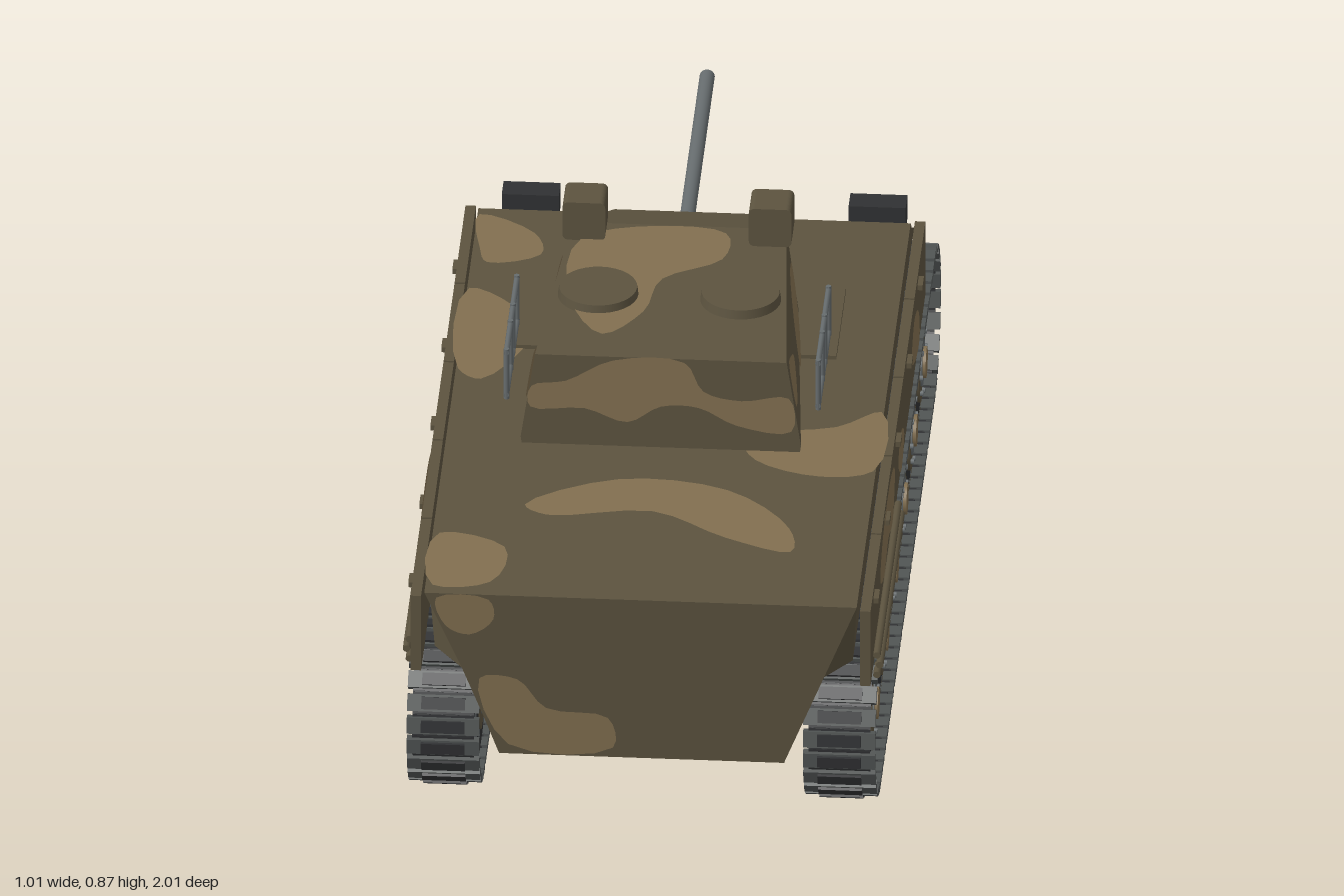
import * as THREE from 'three';

const mat = (name, color, side = THREE.FrontSide) => {
  const m = new THREE.MeshStandardMaterial({ color, side });
  m.name = name;
  return m;
};

// Closed solid lofted through mirrored half sections, ordered rear (+z) to front (-z)
function loft(halves) {
  const rings = halves.map(h => [...h, ...h.slice().reverse().map(([x, y, z]) => [-x, y, z])]);
  const n = rings[0].length, pos = [];
  const tri = (a, b, c) => pos.push(...a, ...b, ...c);
  for (let i = 0; i < rings.length - 1; i++) for (let j = 0; j < n; j++) {
    const k = (j + 1) % n, A = rings[i], B = rings[i + 1];
    tri(A[j], A[k], B[k]);
    tri(A[j], B[k], B[j]);
  }
  const F = rings[0], L = rings[rings.length - 1];
  for (let k = 1; k < n - 1; k++) {
    tri(F[0], F[k + 1], F[k]);
    tri(L[0], L[k], L[k + 1]);
  }
  const g = new THREE.BufferGeometry();
  g.setAttribute('position', new THREE.Float32BufferAttribute(pos, 3));
  g.computeVertexNormals();
  return g;
}

// Rounded camouflage patch, laid on a surface by map(u, v)
function patch(points, map) {
  const curve = new THREE.CatmullRomCurve3(points.map(([u, v]) => new THREE.Vector3(u, v, 0)), true);
  const shape = new THREE.Shape(curve.getPoints(points.length * 4).map(p => new THREE.Vector2(p.x, p.y)));
  const g = new THREE.ShapeGeometry(shape), p = g.attributes.position;
  for (let i = 0; i < p.count; i++) p.setXYZ(i, ...map(p.getX(i), p.getY(i)));
  g.computeVertexNormals();
  return g;
}

export function createModel() {
  const root = new THREE.Group();
  root.name = 'tank';
  const olive = mat('oliveBrown', 0x5c533f);
  const tan = mat('tanCamouflage', 0x826f50, THREE.DoubleSide);
  const dark = mat('darkRubber', 0x303133, THREE.DoubleSide);
  const steel = mat('trackSteel', 0x515554);
  const grey = mat('gunGrey', 0x666c6e);
  const black = mat('blackGlass', 0x17191b);

  const add = (name, geo, m, x = 0, y = 0, z = 0, parent = root) => {
    const o = new THREE.Mesh(geo, m);
    o.name = name;
    o.position.set(x, y, z);
    parent.add(o);
    return o;
  };
  const box = (w, h, d) => new THREE.BoxGeometry(w, h, d);
  const cylX = (r, len, seg = 32) => new THREE.CylinderGeometry(r, r, len, seg).rotateZ(Math.PI / 2);
  const cylZ = (r, len, seg = 24) => new THREE.CylinderGeometry(r, r, len, seg).rotateX(Math.PI / 2);

  // Hull with sloped rear plate, sponsons, glacis and nose
  const rearZ = y => 1 - (0.54 - y) * 0.08;
  const mid = (z, top) => [[0.455, top, z], [0.44, Math.min(0.355, top), z], [0.335, 0.355, z], [0.335, 0.24, z], [0.3, 0.14, z]];
  add('hull', loft([
    [[0.455, 0.54], [0.378, 0.355], [0.377, 0.353], [0.335, 0.24], [0.3, 0.14]].map(([x, y]) => [x, y, rearZ(y)]),
    mid(0.9, 0.54), mid(-0.62, 0.54), mid(-0.65, 0.512),
    mid(-0.92, 0.357),
    [[0.44, 0.31, -1], [0.43, 0.28, -1], [0.41, 0.24, -1], [0.38, 0.21, -1], [0.3, 0.16, -0.94]],
  ]), olive);
  add('bellyPlate', box(0.6, 0.02, 1.8), olive, 0, 0.145, 0.06);

  // Turret
  add('turret', loft([
    [[0.265, 0.775, 0.39], [0.295, 0.575, 0.39], [0.293, 0.56, 0.39]],
    [[0.225, 0.775, -0.17], [0.25, 0.575, -0.18], [0.248, 0.56, -0.18]],
    [[0.145, 0.74, -0.29], [0.15, 0.6, -0.29], [0.148, 0.59, -0.29]],
  ]), olive);
  add('mantlet', cylZ(0.058, 0.03), grey, 0, 0.66, -0.3);
  add('gunBarrel', cylZ(0.016, 0.71), grey, 0, 0.66, -0.645);

  for (const s of [-1, 1]) {
    const side = new THREE.Group();
    side.name = s > 0 ? 'leftSide' : 'rightSide';
    root.add(side);
    const put = (name, geo, m, x, y, z) => add(name, geo, m, s * x, y, z, side);

    // Skirt panels with handles
    for (let i = 0; i < 5; i++) {
      const z = 0.835 - i * 0.33;
      put('skirtPanel', box(0.022, 0.18, 0.324), olive, 0.473, 0.44, z);
      put('skirtHandle', box(0.012, 0.012, 0.04), olive, 0.489, 0.506, z + 0.055);
    }
    // Stowed rods
    for (const [x, y] of [[0.492, 0.38], [0.498, 0.357], [0.492, 0.333]])
      put('stowedRod', cylZ(0.008, 0.64, 10), olive, x, y, 0.6);

    // Road wheels
    for (let i = 0; i < 6; i++) {
      const z = 0.72 - i * 0.287, y = 0.15;
      put('tyre', cylX(0.135, 0.11, 40), dark, 0.41, y, z);
      put('tyreEdge', new THREE.RingGeometry(0.122, 0.135, 40).rotateY(s * Math.PI / 2), olive, 0.467, y, z);
      put('wheelRim', cylX(0.085, 0.12), olive, 0.412, y, z);
      put('wheelDish', cylX(0.052, 0.126), grey, 0.412, y, z);
      put('wheelHub', cylX(0.034, 0.14, 20), tan, 0.412, y, z);
      for (let k = 0; k < 8; k++) {
        const a = k * Math.PI / 4;
        put('wheelBolt', cylX(0.006, 0.01, 6), grey, 0.474, y + 0.068 * Math.sin(a), z + 0.068 * Math.cos(a));
      }
    }
    // End wheels
    for (const z of [0.82, -0.82]) put('endWheel', cylX(0.135, 0.1, 40), grey, 0.405, 0.18, z);

    // Track links spaced round the loop
    const R = 0.165, half = 0.815, run = 2 * half, arc = Math.PI * R, total = 2 * (run + arc), count = 90;
    const linkGeo = box(0.152, 0.018, 0.036), padGeo = box(0.092, 0.02, 0.026), joinGeo = box(0.13, 0.007, 0.05);
    for (let i = 0; i < count; i++) {
      let d = i * total / count, flip = 0;
      if (d >= run + arc) { d -= run + arc; flip = Math.PI; }
      const bend = Math.max(0, d - run) / R;
      const lz = d < run ? d - half : half + R * Math.sin(bend);
      const ly = d < run ? R : R * Math.cos(bend);
      const link = new THREE.Group();
      link.name = 'trackLink';
      link.position.set(s * 0.417, 0.18 + (flip ? -ly : ly), flip ? -lz : lz);
      link.rotation.x = bend + flip;
      side.add(link);
      add('linkPlate', linkGeo, steel, 0, 0, 0, link);
      add('linkPad', padGeo, dark, 0, 0.005, 0, link);
      add('linkJoint', joinGeo, dark, 0, -0.003, 0, link);
    }

    // Headlights
    put('headlight', box(0.12, 0.055, 0.055), dark, 0.365, 0.39, -0.922);
    put('headlightLens', box(0.1, 0.04, 0.006), black, 0.365, 0.39, -0.951);
    put('headlightBracket', box(0.04, 0.05, 0.03), dark, 0.365, 0.355, -0.92);

    // Hull hatch plates ahead of the turret
    put('hullHatch', box(0.245, 0.009, 0.29), olive, 0.217, 0.546, -0.18);
    put('hatchHandle', box(0.05, 0.008, 0.015), olive, 0.2, 0.555, -0.29);

    // Roof hatches and sights
    put('roofHatch', new THREE.CylinderGeometry(0.082, 0.085, 0.02, 32), olive, 0.15, 0.785, 0.13);
    const sq = new THREE.Shape();
    const w = 0.045, r = 0.012;
    sq.absarc(w - r, w - r, r, 0, Math.PI / 2).absarc(r - w, w - r, r, Math.PI / 2, Math.PI)
      .absarc(r - w, r - w, r, Math.PI, Math.PI * 1.5).absarc(w - r, r - w, r, Math.PI * 1.5, Math.PI * 2);
    put('sightBox', new THREE.ExtrudeGeometry(sq, { depth: 0.085, bevelEnabled: false, curveSegments: 4 }), olive, 0.196, 0.82, -0.18);
    put('sightGlass', box(0.07, 0.07, 0.006), black, 0.196, 0.82, -0.181);

    // Turret side rails
    for (const y of [0.65, 0.752]) put('railBar', cylZ(0.006, 0.32, 8), grey, 0.328, y, 0.19);
    for (const z of [0.345, 0.225, 0.155, 0.035])
      put('railPost', new THREE.CylinderGeometry(0.006, 0.006, 0.12, 8), grey, 0.328, 0.7, z);

    // Side camouflage
    const skirt = (z, y) => [s * 0.4865, y, z];
    for (const pts of [
      [[0.74, 0.46], [0.66, 0.515], [0.4, 0.52], [0.3, 0.47], [0.36, 0.39], [0.5, 0.42], [0.62, 0.4]],
      [[-0.2, 0.45], [-0.28, 0.5], [-0.42, 0.44], [-0.44, 0.37], [-0.33, 0.38]],
      [[0.2, 0.43], [0.12, 0.46], [0.02, 0.4], [0.1, 0.36]],
    ]) add('skirtCamouflage', patch(pts, skirt), tan, 0, 0, 0, side);
    const cheek = (z, y) => {
      const t = (0.39 - z) / 0.57, v = (y - 0.575) / 0.2;
      return [s * (0.299 - 0.045 * t - v * (0.03 - 0.005 * t)), y, z];
    };
    for (const pts of [
      [[0.1, 0.6], [0.07, 0.69], [-0.02, 0.75], [-0.12, 0.72], [-0.1, 0.62], [0, 0.585]],
      [[0.385, 0.67], [0.385, 0.765], [0.3, 0.74], [0.22, 0.69], [0.3, 0.65]],
    ]) add('turretCamouflage', patch(pts, cheek), tan, 0, 0, 0, side);
  }

  // Deck and glacis camouflage
  const deckY = z => (z > -0.62 ? 0.54 : z > -0.65 ? 0.54 + (z + 0.62) * 0.93 : 0.512 + (z + 0.65) * 0.577);
  const deck = (x, z) => [x, deckY(z) + 0.003, z];
  for (const pts of [
    [[-0.27, -0.68], [-0.18, -0.74], [-0.02, -0.75], [0.05, -0.82], [0.2, -0.77], [0.3, -0.69], [0.17, -0.655], [0, -0.67], [-0.15, -0.66]],
    [[0.2, -0.98], [0.42, -0.98], [0.43, -0.84], [0.3, -0.86]],
    [[-0.45, -0.59], [-0.33, -0.52], [-0.31, -0.43], [-0.42, -0.39], [-0.44, -0.45]],
    [[-0.45, -0.28], [-0.36, -0.22], [-0.31, -0.08], [-0.4, 0.1], [-0.45, 0.06]],
    [[0.45, 0.18], [0.36, 0.25], [0.17, 0.3], [0.2, 0.4], [0.34, 0.46], [0.45, 0.43]],
    [[-0.27, 0.62], [-0.08, 0.5], [0.15, 0.53], [0.29, 0.68], [0.3, 0.78], [0.16, 0.73], [0, 0.63], [-0.22, 0.66]],
    [[-0.44, 0.75], [-0.3, 0.8], [-0.32, 0.95], [-0.44, 0.97]],
  ]) add('deckCamouflage', patch(pts, deck), tan);
  add('roofCamouflage', patch([[-0.2, -0.1], [-0.05, -0.16], [0.1, -0.14], [0.1, -0.03], [-0.02, 0.06], [-0.05, 0.2], [-0.13, 0.3], [-0.21, 0.15]],
    (x, z) => [x, 0.778, z]), tan);

  // Rear plate and turret rear camouflage
  const rear = (x, y) => [x, y, rearZ(y) + 0.003];
  add('rearCamouflage', patch([[-0.43, 0.53], [-0.32, 0.53], [-0.31, 0.48], [-0.36, 0.44], [-0.41, 0.46]], rear), tan);
  add('rearCamouflage', patch([[-0.34, 0.33], [-0.26, 0.33], [-0.2, 0.26], [-0.07, 0.24], [-0.06, 0.165], [-0.28, 0.165]], rear), tan);
  add('turretRearCamouflage', patch([[-0.272, 0.7], [-0.2, 0.715], [-0.1, 0.768], [0.05, 0.768], [0.09, 0.7], [0.17, 0.68],
    [0.27, 0.69], [0.275, 0.61], [0.16, 0.62], [0.08, 0.66], [0, 0.66], [-0.07, 0.62], [-0.16, 0.65], [-0.275, 0.65]],
  (x, y) => [x, y, 0.393]), tan);

  // Dark patches on the nose plate
  for (const [x, w] of [[-0.31, 0.06], [-0.1, 0.05], [0.08, 0.07], [0.29, 0.06]])
    add('nosePatch', patch([[x - w, 0.28], [x - 0.01, 0.298], [x + w, 0.27], [x + w * 0.4, 0.222], [x - w * 0.1, 0.25], [x - w * 0.6, 0.225]],
      (u, v) => [u, v, -1.002]), dark);

  return root;
}
